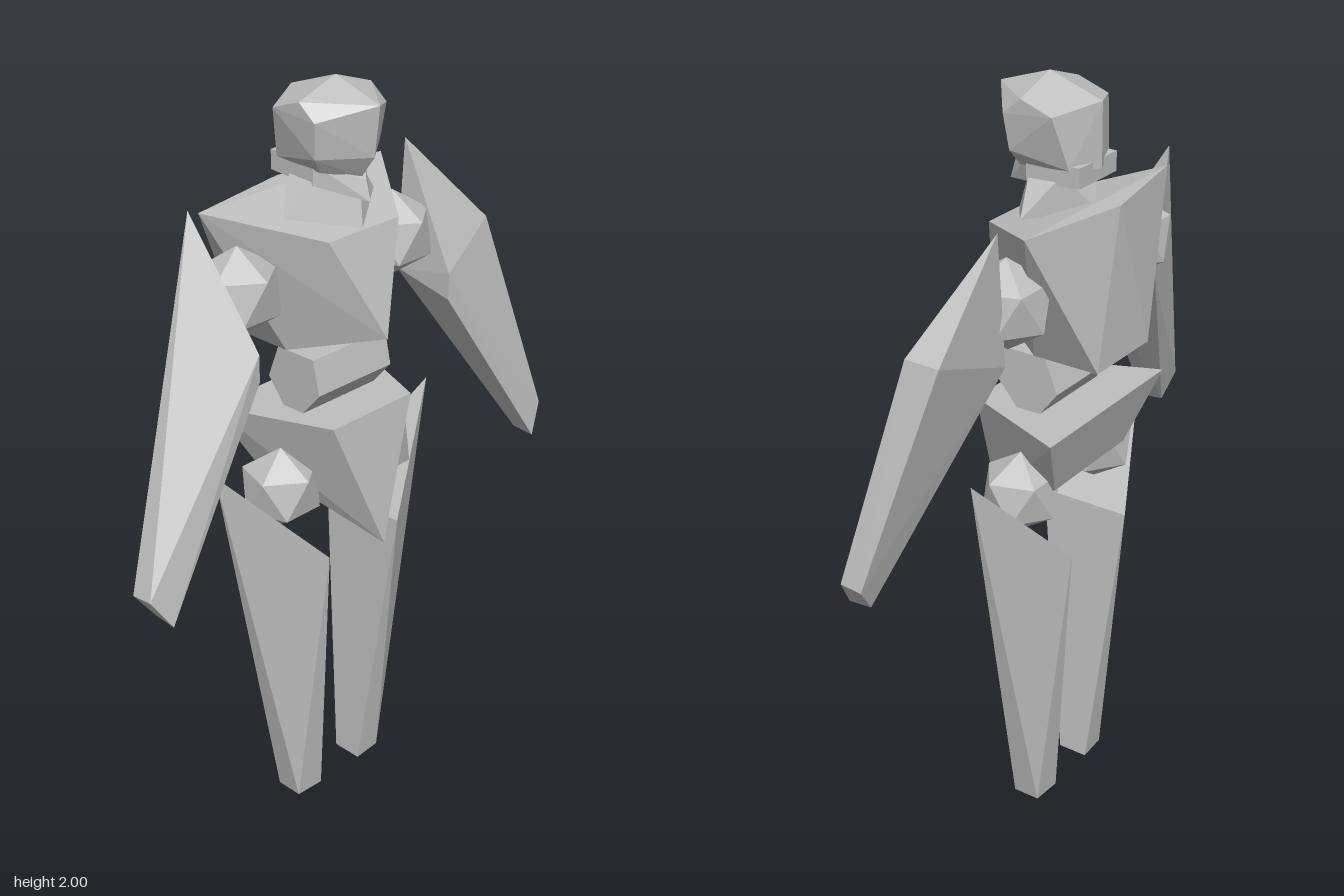
import * as THREE from 'three';
import { ConvexGeometry } from 'three/addons/geometries/ConvexGeometry.js';

const grey = new THREE.MeshStandardMaterial({ color: 0xbfbfbf });
grey.name = 'clay grey';

// Faceted solid around a few corner points
function solid(name, points) {
  const corners = points.map(([x, y, z]) => new THREE.Vector3(x, y, z));
  const mesh = new THREE.Mesh(new ConvexGeometry(corners), grey);
  mesh.name = name;
  return mesh;
}

// Corners listed for the +x half; any corner off the centre plane is mirrored
function symmetric(name, half) {
  const points = half.flatMap(([x, y, z]) => (x === 0 ? [[x, y, z]] : [[x, y, z], [-x, y, z]]));
  return solid(name, points);
}

// Icosahedron joint standing on one corner
function joint(name, x, y, z, radius) {
  const geometry = new THREE.IcosahedronGeometry(radius, 0);
  geometry.rotateX(-Math.atan((1 + Math.sqrt(5)) / 2));
  const mesh = new THREE.Mesh(geometry, grey);
  mesh.name = name;
  mesh.position.set(x, y, z);
  return mesh;
}

export function createModel() {
  const model = new THREE.Group();
  model.name = 'figure';

  // Head: ridged crown, pointed brow, tapering face
  model.add(symmetric('head', [
    [0, 2.0, 0.02], [0.12, 1.96, 0.02],
    [0, 1.955, 0.16], [0.12, 1.92, 0.07],
    [0, 1.95, -0.125], [0.12, 1.93, -0.065],
    [0, 1.83, 0.145], [0.11, 1.83, 0.06],
    [0.08, 1.79, 0.05], [0, 1.775, 0.105],
    [0.085, 1.8, -0.09], [0, 1.79, -0.125],
  ]));
  model.add(symmetric('jaw', [
    [0, 1.72, 0.135], [0, 1.77, 0.12],
    [0.085, 1.755, 0.03], [0.085, 1.81, 0.03],
    [0.08, 1.76, -0.115], [0.08, 1.81, -0.115],
  ]));

  // Neck flaring into a collar
  model.add(symmetric('neck', [
    [0.07, 1.78, 0.03], [0.07, 1.78, -0.06],
    [0.155, 1.685, 0], [0, 1.65, 0.11], [0, 1.69, -0.11],
  ]));

  // Torso
  model.add(symmetric('chest', [
    [0.31, 1.71, -0.12], [0, 1.71, -0.178],
    [0.12, 1.648, 0.115], [0, 1.39, 0.195],
    [0.13, 1.335, -0.02], [0.115, 1.325, -0.193],
  ]));
  model.add(symmetric('waist', [
    [0.128, 1.335, 0.07], [0.128, 1.335, -0.05],
    [0.128, 1.245, 0.09], [0.128, 1.245, -0.085],
    [0.128, 1.175, 0.03], [0.128, 1.175, -0.03],
  ]));
  model.add(symmetric('pelvis', [
    [0.14, 1.18, 0.15], [0.26, 1.18, -0.155],
    [0, 0.82, 0.195], [0.16, 1.0, -0.1],
  ]));

  for (const s of [1, -1]) {
    const side = s > 0 ? 'left' : 'right';
    const onSide = (points) => points.map(([x, y, z]) => [s * x, y, z]);

    // Ball joints
    model.add(joint(side + 'Shoulder', s * 0.267, 1.525, -0.04, 0.115));
    model.add(joint(side + 'Hip', s * 0.169, 0.975, -0.005, 0.11));

    // Arm: pointed shoulder, small square hand end; only the left has a bent elbow
    const arm = [
      [0.368, 1.74, -0.09],
      [0.333, 1.43, 0.1], [0.333, 1.36, 0.1], [0.333, 1.4, -0.08],
      [0.715, 0.935, 0.065], [0.715, 0.94, 0.125],
      [0.665, 0.86, 0.145], [0.665, 0.865, 0.08],
    ];
    if (s > 0) arm.push([0.585, 1.495, 0.01], [0.58, 1.49, -0.08]);
    model.add(solid(side + 'Arm', onSide(arm)));

    // Leg: pointed outer hip, wide inner thigh, small square foot
    model.add(solid(side + 'Leg', onSide([
      [0.385, 1.085, -0.01],
      [0.127, 0.8, 0.125], [0.127, 0.8, -0.13],
      [0.075, 0, 0.04], [0.075, 0, -0.045],
      [0.158, 0, 0.035], [0.158, 0, -0.04],
    ])));
  }
  return model;
}
